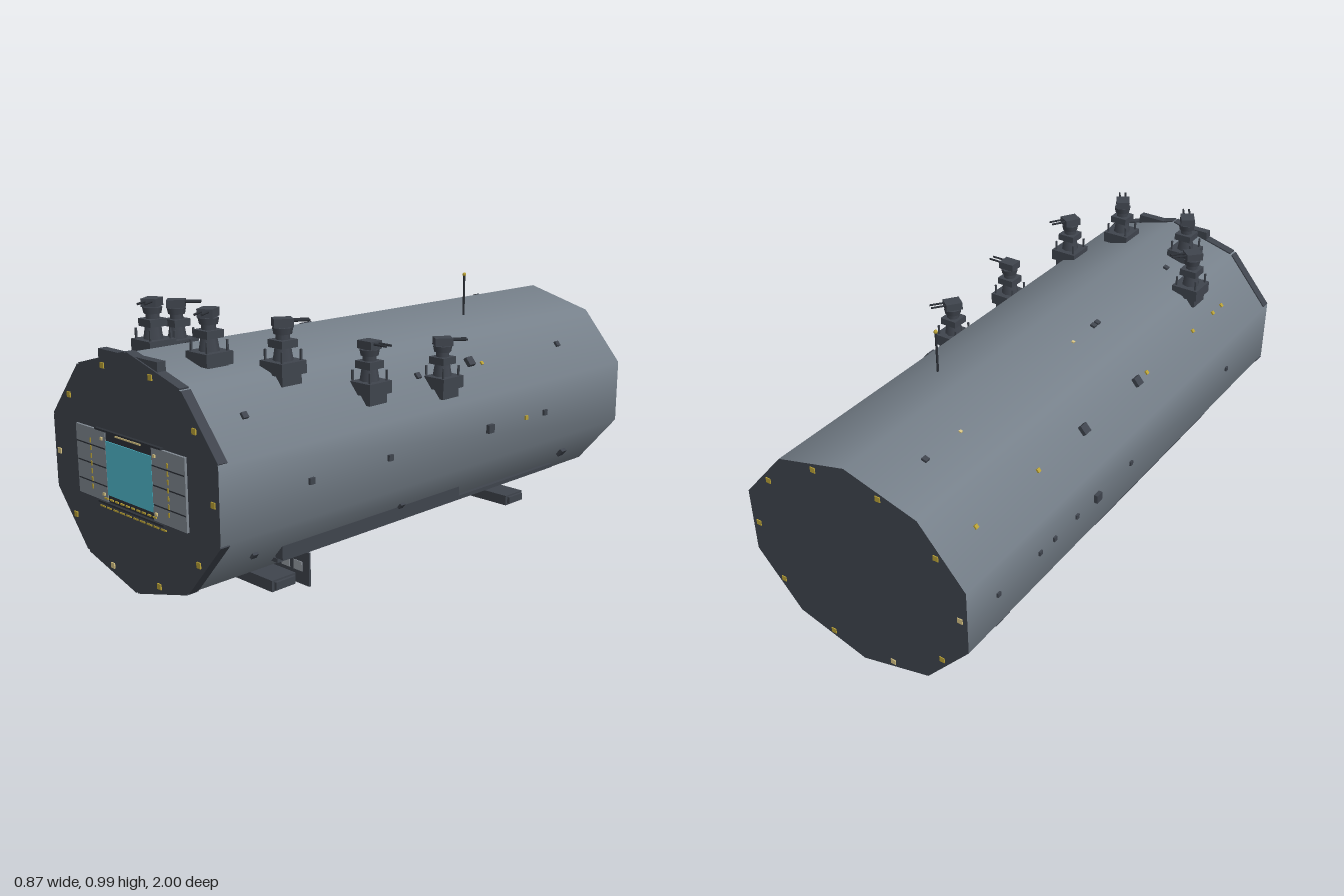
import * as THREE from 'three';

const mat = (name, color, side = THREE.FrontSide) => {
  const m = new THREE.MeshStandardMaterial({ color, side });
  m.name = name;
  return m;
};

export function createModel() {
  const hullGrey = mat('hull grey', 0x76808a);
  const dark = mat('dark steel', 0x3f444d);
  const black = mat('shadow steel', 0x2d3138);
  const doorGrey = mat('door grey', 0x7f8790);
  const cyan = mat('bay field cyan', 0x4fb9cc);
  const gold = mat('marking gold', 0xb9a136);
  const cream = mat('lamp cream', 0xd6c383);
  const pale = mat('pale panel', 0x989ea6);

  const model = new THREE.Group();
  model.name = 'stationHull';
  const RX = 0.442, RY = 0.375, CY = 0.49;

  const add = (name, geo, material, x = 0, y = 0, z = 0, parent = model) => {
    const m = new THREE.Mesh(geo, material);
    m.name = name;
    m.position.set(x, y, z);
    parent.add(m);
    return m;
  };
  const box = (name, material, w, h, d, x, y, z, parent = model) =>
    add(name, new THREE.BoxGeometry(w, h, d), material, x, y, z, parent);
  const corner = i => {
    const a = i * Math.PI / 5;
    return new THREE.Vector2(Math.sin(a) * RX, CY + Math.cos(a) * RY);
  };

  // Ten-sided hull with smooth sides and dark end plates
  const tube = new THREE.CylinderGeometry(RX, RX, 1.985, 10, 1, true);
  tube.rotateX(-Math.PI / 2);
  tube.scale(1, RY / RX, 1);
  add('hull', tube, hullGrey, 0, CY, -0.0075);
  const endPlate = new THREE.CircleGeometry(1, 10, Math.PI / 2);
  endPlate.scale(RX, RY, 1);
  add('frontPlate', endPlate, dark, 0, CY, 0.985);
  add('rearPlate', endPlate, dark, 0, CY, -1).rotation.y = Math.PI;

  // Rim armour on every sloping edge of the nose
  for (let i = 0; i < 10; i++) {
    if (i === 2 || i === 7) continue;
    const a = corner(i), b = corner(i + 1);
    const mid = a.clone().add(b).multiplyScalar(0.5);
    const d = b.clone().sub(a);
    const rim = box('rimArmour', dark, d.length() * 0.97, 0.022, 0.034, mid.x * 0.983, CY + (mid.y - CY) * 0.983, 0.968);
    rim.rotation.z = Math.atan2(d.y, d.x);
  }
  box('browPlate', dark, 0.3, 0.06, 0.03, 0, 0.828, 0.965);

  // Marker lights round both ends
  for (let i = 0; i < 10; i++) {
    const a = (i + 0.5) * Math.PI / 5;
    for (const z of [0.986, -1]) {
      box('markerLight', i % 5 === 0 || i % 5 === 2 ? (i % 2 ? cream : gold) : gold, 0.018, 0.018, 0.006,
        Math.sin(a) * 0.395, CY + Math.cos(a) * 0.337, z);
    }
  }

  // Docking bay: field, frame, doors and hazard marks
  box('bayFrame', black, 0.24, 0.225, 0.006, 0, 0.4925, 0.987);
  box('bayField', cyan, 0.236, 0.173, 0.004, 0, 0.49, 0.991);
  box('bayLintel', black, 0.34, 0.006, 0.012, 0, 0.608, 0.99);
  box('baySill', black, 0.34, 0.006, 0.012, 0, 0.374, 0.99);
  box('lintelLight', cream, 0.13, 0.005, 0.004, 0, 0.6, 0.992);
  for (const s of [-1, 1]) {
    box('bayDoor', doorGrey, 0.16, 0.225, 0.008, s * 0.199, 0.4925, 0.989);
    for (const y of [0.43, 0.49, 0.55]) box('doorGroove', black, 0.155, 0.004, 0.002, s * 0.198, y, 0.993);
    for (let i = 0; i < 7; i++) box('doorDash', gold, 0.006, 0.015, 0.002, s * 0.198, 0.415 + i * 0.025, 0.995);
    for (const y of [0.403, 0.581]) box('bayLamp', cream, 0.01, 0.009, 0.006, s * 0.136, y, 0.995);
  }
  for (let i = 0; i < 10; i++) {
    box('sillDash', gold, 0.017, 0.005, 0.004, -0.126 + i * 0.028, 0.391, 0.994);
    box('lowerDash', gold, 0.026, 0.005, 0.006, -0.157 + i * 0.035, 0.358, 0.987);
  }
  box('lowerStrip', black, 0.34, 0.006, 0.003, 0, 0.358, 0.986);

  // Gun turrets
  function turret(x, y, z, yaw) {
    const g = new THREE.Group();
    g.name = 'turret';
    g.position.set(x, y, z);
    model.add(g);
    box('turretBase', dark, 0.1, 0.04, 0.1, 0, 0.022, 0, g);
    box('turretFooting', dark, 0.078, 0.04, 0.078, 0, -0.01, 0, g);
    for (const sx of [-1, 1]) for (const sz of [-1, 1])
      box('turretPost', dark, 0.006, 0.036, 0.006, sx * 0.038, 0.058, sz * 0.038, g);
    const drum = (n, r1, r2, h, py) => add(n, new THREE.CylinderGeometry(r1, r2, h, 8), dark, 0, py, 0, g);
    drum('turretColumn', 0.024, 0.032, 0.05, 0.065);
    box('turretCollar', dark, 0.064, 0.024, 0.064, 0, 0.094, 0, g);
    drum('turretNeck', 0.022, 0.022, 0.06, 0.12);
    drum('turretCrown', 0.032, 0.028, 0.02, 0.132);
    const head = new THREE.Group();
    head.name = 'turretHead';
    head.position.y = 0.157;
    head.rotation.y = yaw;
    g.add(head);
    box('gunHousing', dark, 0.05, 0.026, 0.06, 0, 0, 0, head);
    for (const s of [-1, 1]) {
      const barrel = add('gunBarrel', new THREE.CylinderGeometry(0.004, 0.004, 0.06, 6), black, s * 0.011, 0.005, 0.052, head);
      barrel.rotation.x = Math.PI / 2;
    }
  }
  turret(-0.145, 0.82, 0.78, 0.55);
  turret(0.135, 0.82, 0.78, 0.55);
  turret(-0.265, 0.783, 0.6, 2.4);
  turret(0.26, 0.783, 0.6, 2.6);
  turret(0.35, 0.69, 0.32, 1.57);
  turret(0.375, 0.66, 0, 2.5);

  // Small fittings lying on the facets; s picks the side, (y, z) the place
  function fitting(s, y, z, size, material = dark) {
    let i = 0;
    while (i < 4 && corner(i + 1).y > y) i++;
    const a = corner(i), b = corner(i + 1);
    const x = THREE.MathUtils.mapLinear(y, a.y, b.y, a.x, b.x);
    const m = box('hullFitting', material, size * 0.9, size, size, s * x, y, z);
    m.rotation.z = s * Math.atan2(b.x - a.x, a.y - b.y);
  }
  const rightSpots = [[0.705, 0.82], [0.705, 0.08], [0.71, -0.19], [0.705, -0.7], [0.49, 0.64], [0.49, 0.3],
    [0.49, -0.2], [0.49, -0.52], [0.28, 0.8], [0.28, 0.16], [0.28, -0.75]];
  for (const [y, z] of rightSpots) fitting(1, y, z, 0.02);
  fitting(1, 0.49, -0.2, 0.03);
  fitting(1, 0.71, -0.19, 0.032);
  fitting(1, 0.28, -0.75, 0.03);
  fitting(1, 0.7, -0.25, 0.012, gold);
  fitting(1, 0.49, -0.41, 0.015, gold);
  for (const z of [-0.26, 0.08]) fitting(-1, 0.7, z, 0.032);
  for (const z of [-0.84, -0.52, 0.15, 0.49, 0.65, 0.72]) fitting(-1, 0.7, z, 0.013, gold);
  for (const z of [-0.85, -0.63, -0.55, -0.42, -0.3, -0.08, 0.64]) fitting(-1, 0.49, z, z === -0.3 ? 0.03 : 0.015);
  for (const z of [-0.68, -0.57, -0.53, -0.37, -0.25, -0.13, -0.03]) fitting(-1, 0.285, z, 0.028);
  for (const z of [-0.8, 0.13, 0.155, 0.65]) fitting(-1, 0.828, z, 0.018);
  for (const z of [-0.63, 0]) fitting(-1, 0.828, z, 0.01, cream);

  // Antenna
  add('antennaMast', new THREE.CylinderGeometry(0.004, 0.004, 0.15, 6), black, 0.13, 0.9, -0.4);
  add('antennaTip', new THREE.SphereGeometry(0.007, 8, 6), gold, 0.13, 0.977, -0.4);

  // Lower side rails
  for (const s of [-1, 1]) {
    box('longRail', dark, 0.045, 0.014, 1.42, s * 0.286, 0.217, -0.03);
    box('railHousing', dark, 0.034, 0.045, 0.83, s * 0.316, 0.248, 0.265);
  }

  // Landing skids with their mounts
  for (const z of [0.595, -0.595]) {
    box('skid', dark, 0.48, 0.038, 0.1, 0, 0.102, z);
    for (const s of [-1, 1]) box('skidEnd', dark, 0.012, 0.026, 0.08, s * 0.244, 0.102, z);
    box('skidMount', dark, 0.22, 0.05, 0.08, 0, 0.135, z);
  }

  // Ventral fin with pale panels
  box('ventralFin', dark, 0.29, 0.12, 0.008, 0, 0.06, 0.395);
  box('finRoot', dark, 0.21, 0.04, 0.008, 0, 0.13, 0.395);
  box('finBracket', dark, 0.2, 0.01, 0.11, 0, 0.142, 0.445);
  for (let i = 0; i < 4; i++) box('finPanel', pale, 0.042, 0.034, 0.003, -0.092 + i * 0.061, 0.064, 0.4);

  return model;
}
